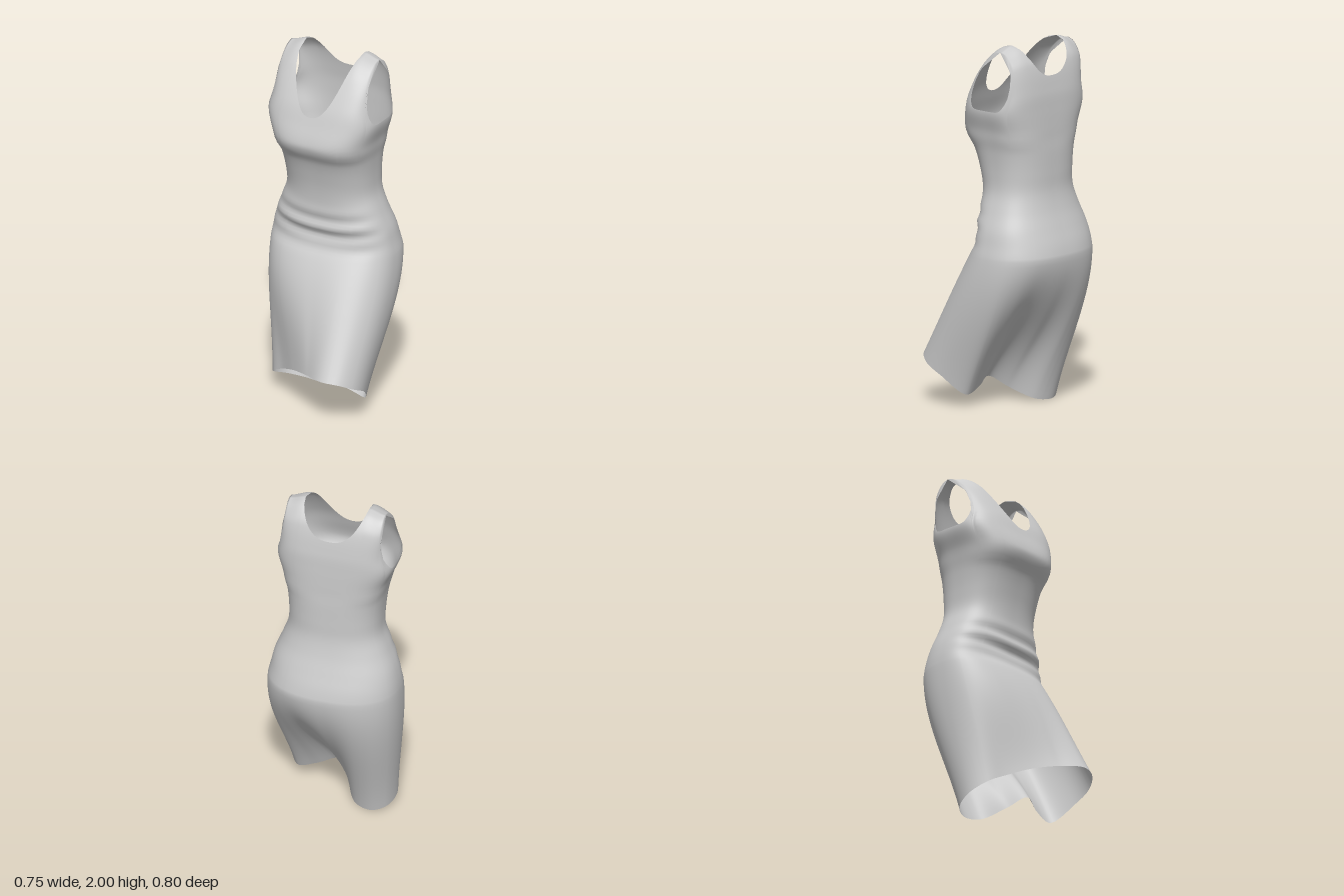
import * as THREE from 'three';
import { mergeVertices } from 'three/addons/utils/BufferGeometryUtils.js';

// Body cross-sections: y, centre x, half width, front z, back z, middle z, squareness
const RINGS = [
  [0.80, -0.008, 0.369, 0.150, -0.400, -0.12, 2.4],
  [0.85, -0.008, 0.367, 0.118, -0.397, -0.12, 2.4],
  [0.92, -0.012, 0.355, 0.078, -0.382, -0.12, 2.4],
  [1.00, -0.012, 0.336, 0.080, -0.355, -0.12, 2.4],
  [1.10, -0.012, 0.297, 0.085, -0.322, -0.11, 2.4],
  [1.20, -0.010, 0.262, 0.090, -0.302, -0.11, 2.4],
  [1.30, -0.010, 0.258, 0.108, -0.300, -0.10, 2.5],
  [1.42, -0.010, 0.268, 0.145, -0.300, -0.09, 2.7],
  [1.49, -0.010, 0.282, 0.187, -0.298, -0.09, 3.0],
  [1.54, -0.012, 0.293, 0.198, -0.298, -0.09, 3.0],
  [1.65, -0.018, 0.327, 0.160, -0.296, -0.09, 3.2],
  [1.75, -0.015, 0.304, 0.118, -0.290, -0.10, 3.8],
  [1.90, -0.022, 0.299, 0.025, -0.260, -0.13, 4],
  [1.96, -0.024, 0.298, -0.035, -0.220, -0.14, 4],
  [1.99, -0.024, 0.298, -0.090, -0.180, -0.14, 4],
  [2.00, -0.024, 0.298, -0.140, -0.140, -0.14, 4],
];

// Hem outline at even angles, from the left side round the front; one leg steps forward
const hem = new THREE.CatmullRomCurve3([
  [0.35, 0.17, 0.20], [0.345, 0.22, 0.30], [0.29, 0.26, 0.375], [0.20, 0.27, 0.40],
  [0.07, 0.255, 0.335], [-0.06, 0.22, 0.25], [-0.17, 0.17, 0.17], [-0.26, 0.12, 0.115],
  [-0.31, 0.06, 0.02], [-0.28, 0.02, -0.07], [-0.20, 0.0, -0.11], [-0.10, 0.01, -0.08],
  [-0.02, 0.07, 0.04], [0.05, 0.13, 0.12], [0.17, 0.10, 0.08], [0.28, 0.07, 0.08],
].map(p => new THREE.Vector3(...p)), true);

const HIP = 0.85, BUST = 1.45;
const ARM = 0.458, STRAP = 1.025;   // angles where the armhole and neckline meet the strap

// Smooth interpolation of the section table
function section(y) {
  let i = 0;
  while (i < RINGS.length - 2 && y > RINGS[i + 1][0]) i++;
  const a = RINGS[i], b = RINGS[i + 1], h = b[0] - a[0];
  const p = RINGS[Math.max(i - 1, 0)], q = RINGS[Math.min(i + 2, RINGS.length - 1)];
  const t = THREE.MathUtils.clamp((y - a[0]) / h, 0, 1), t2 = t * t, t3 = t2 * t;
  return a.map((v, k) => {
    const m0 = (b[k] - p[k]) / (b[0] - p[0]) * h, m1 = (q[k] - v) / (q[0] - a[0]) * h;
    return v * (2 * t3 - 3 * t2 + 1) + m0 * (t3 - 2 * t2 + t)
      + b[k] * (3 * t2 - 2 * t3) + m1 * (t3 - t2);
  });
}

// Signed fraction of the half width reached at an angle
function across(angle) {
  const c = Math.cos(angle);
  return Math.sign(c) * Math.min(1, Math.abs(c) ** 0.77);
}

// Point of the fitted body at an angle and height
function bodyPoint(angle, y) {
  const [, cx, hw, front, back, mid, n] = section(y);
  const c = across(angle), isFront = Math.sin(angle) >= 0;
  const depth = Math.max(0, 1 - Math.abs(c) ** n) ** (1 / n);
  const x = cx + hw * c;
  let z = mid + depth * ((isFront ? front : back) - mid);
  // Soft folds across the front of the waist
  if (isFront) {
    const f = y - 1.0 - 0.25 * x * x;
    z += depth * 0.011 * Math.exp(-((f / 0.09) ** 2)) * Math.cos(f * 65 - 1.2);
  }
  // Outer edges of the straps slope down
  const edge = THREE.MathUtils.smoothstep(Math.abs(c), 0.6, 0.92);
  const drop = 0.025 * edge * THREE.MathUtils.smoothstep(y, 1.8, 2);
  return new THREE.Vector3(x, y - drop, z);
}

// Upper edge of the cloth: neckline, shoulder or armhole
function topEdge(angle) {
  const fromSide = Math.abs(Math.asin(Math.sin(angle)));
  if (fromSide < ARM - 1e-6) return 1.655 + 0.345 * (fromSide / ARM) ** 5;
  if (fromSide <= STRAP + 1e-6) return 2;
  const u = Math.abs(across(angle)) / 0.604;
  return Math.sin(angle) > 0
    ? 1.685 + 0.315 * Math.min(1, u) ** 2.2
    : 1.83 + 0.17 * Math.min(1, u) ** 2.6;
}

// Skirt point: leaves the hip smoothly and runs to the hem
function skirtPoint(angle, t) {
  const a = bodyPoint(angle, HIP), b = hem.getPoint(angle / (2 * Math.PI));
  const run = b.clone().sub(a);
  const slope = a.clone().sub(bodyPoint(angle, HIP + 0.03)).multiplyScalar((a.y - b.y) / 0.03);
  const m0 = slope.lerp(run, 0.35);
  const t2 = t * t, t3 = t2 * t;
  return a.multiplyScalar(2 * t3 - 3 * t2 + 1).addScaledVector(m0, t3 - 2 * t2 + t)
    .addScaledVector(b, 3 * t2 - 2 * t3).addScaledVector(run, t3 - t2);
}

// Column angles, with exact columns on the strap edges
function columnAngles() {
  const stops = [0, ARM, STRAP, Math.PI - STRAP, Math.PI - ARM, Math.PI];
  const counts = [12, 8, 36, 8, 12], out = [];
  for (const half of [0, Math.PI])
    counts.forEach((n, k) => {
      for (let i = 0; i < n; i++) out.push(half + stops[k] + (stops[k + 1] - stops[k]) * i / n);
    });
  return out;
}

function dressGeometry() {
  const SKIRT = 26, WAIST = 36, BODICE = 30;
  const angles = columnAngles(), n = angles.length, rows = SKIRT + WAIST + BODICE;
  const pos = [], index = [];
  for (let r = 0; r <= rows; r++)
    for (const angle of angles) {
      let p;
      if (r < SKIRT) p = skirtPoint(angle, 1 - r / SKIRT);
      else if (r < SKIRT + WAIST) p = bodyPoint(angle, HIP + (BUST - HIP) * (r - SKIRT) / WAIST);
      else {
        const s = 1 - (1 - (r - SKIRT - WAIST) / BODICE) ** 1.7;
        p = bodyPoint(angle, BUST + (topEdge(angle) - BUST) * s);
      }
      pos.push(p.x, p.y, p.z);
    }
  for (let r = 0; r < rows; r++)
    for (let i = 0; i < n; i++) {
      const a = r * n + i, b = r * n + (i + 1) % n;
      index.push(a, a + n, b, b, a + n, b + n);
    }
  const raw = new THREE.BufferGeometry();
  raw.setAttribute('position', new THREE.Float32BufferAttribute(pos, 3));
  raw.setIndex(index);
  // Join the front and back straps at the shoulder
  const geometry = mergeVertices(raw, 1e-4);
  geometry.computeVertexNormals();
  return geometry;
}

export function createModel() {
  const group = new THREE.Group();
  group.name = 'sleevelessDress';
  const cloth = new THREE.MeshStandardMaterial({ color: 0xcccccc, side: THREE.DoubleSide });
  const dress = new THREE.Mesh(dressGeometry(), cloth);
  dress.name = 'dressCloth';
  group.add(dress);
  return group;
}
